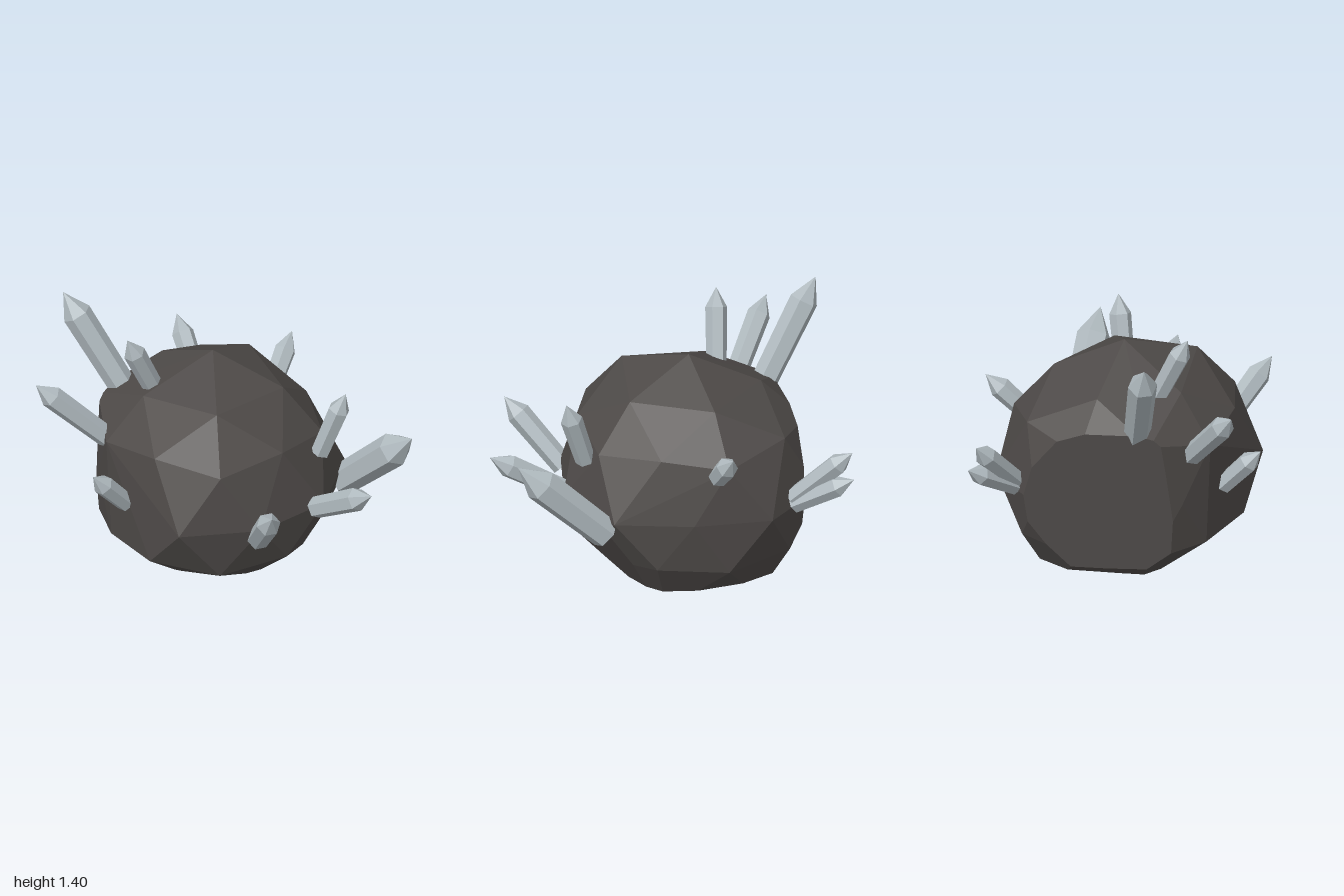
import * as THREE from 'three';
import { ConvexGeometry } from 'three/addons/geometries/ConvexGeometry.js';

const V = (x, y, z) => new THREE.Vector3(x, y, z);

// Keep the part of a polygon that lies behind a plane
function clip(poly, plane) {
  const out = [];
  poly.forEach((a, i) => {
    const b = poly[(i + 1) % poly.length];
    const da = plane.distanceToPoint(a), db = plane.distanceToPoint(b);
    if (da <= 0) out.push(a);
    if (da * db < 0) out.push(a.clone().lerp(b, da / (da - db)));
  });
  return out;
}

// Rough faceted ball with a flat base, a broad flat flank and an undercut facet
function rockGeometry() {
  const R = 0.73;
  const ball = [V(-0.12, 1.185, 0.01)];
  // Rings of corners: height, ring radius, first angle, roughness of each corner
  [
    [0.8, 0.575, 0, [0.96, 1.01, 0.93, 0.94, 0.96]],
    [0.526, 0.851, 36, [0.96, 0.93, 1, 1, 0.9]],
    [0.447, 0.894, 0, [0.95, 1, 0.93, 0.98, 0.95]],
    [0, 1, 18, [0.98, 0.97, 1.01, 0.8, 0.83, 1, 1, 0.99, 0.87, 1]],
    [-0.38, 0.894, 36, [0.97, 0.96, 1, 1, 0.98]],
    [-0.42, 0.851, 0, [1, 1, 0.93, 1, 1]],
    [-0.723, 0.526, 36, [0.95, 0.9, 1, 1.16, 1.14]],
  ].forEach(([h, r, start, rough]) => rough.forEach((k, i) => {
    const a = THREE.MathUtils.degToRad(start + (360 / rough.length) * i);
    ball.push(V(r * Math.cos(a), h, r * Math.sin(a)).multiplyScalar(R * k).add(V(-0.13, 0.455, 0.03)));
  }));

  const cut = (n, p) => new THREE.Plane().setFromNormalAndCoplanarPoint(n.normalize(), p);
  const planes = [
    cut(V(0, -1, 0), V(0, 0, 0)),
    cut(V(-0.92, -0.05, -0.37), V(-0.65, 0.92, -0.11)),
    cut(V(0.86, -0.51, 0), V(0.33, 0, 0)),
  ];
  const pos = new ConvexGeometry(ball).attributes.position;
  const points = new Map();
  for (let i = 0; i < pos.count; i += 3) {
    let poly = [0, 1, 2].map((k) => V(0, 0, 0).fromBufferAttribute(pos, i + k));
    for (const plane of planes) poly = clip(poly, plane);
    for (const p of poly) points.set(p.toArray().map((c) => c.toFixed(4)).join(), p);
  }
  return new ConvexGeometry([...points.values()]);
}

// Six-sided crystal with a pointed end, from base to tip
function makeCrystal(base, tip, r, material) {
  const axis = tip.clone().sub(base);
  const len = axis.length();
  const profile = [[0, 0], [r * 0.92, 0], [r, len - r * 1.8], [0, len]]
    .map(([x, y]) => new THREE.Vector2(x, y));
  const geo = new THREE.LatheGeometry(profile, 6).toNonIndexed();
  geo.computeVertexNormals();
  const mesh = new THREE.Mesh(geo, material);
  mesh.position.copy(base);
  mesh.quaternion.setFromUnitVectors(V(0, 1, 0), axis.normalize());
  return mesh;
}

export function createModel() {
  const rockGrey = new THREE.MeshStandardMaterial({ color: 0x4e4a48 });
  rockGrey.name = 'darkRock';
  const crystalGrey = new THREE.MeshStandardMaterial({ color: 0xafb9be });
  crystalGrey.name = 'paleCrystal';

  const model = new THREE.Group();
  model.name = 'crystalRock';
  const rock = new THREE.Mesh(rockGeometry(), rockGrey);
  rock.name = 'rock';
  model.add(rock);

  // Crystals: base, tip, radius
  const crystals = new THREE.Group();
  crystals.name = 'crystals';
  [
    [[-0.58, 0.80, -0.01], [-0.96, 1.40, -0.04], 0.08],
    [[-0.64, 0.72, 0.28], [-1.0, 1.09, 0.43], 0.064],
    [[-0.41, 0.96, 0.13], [-0.53, 1.35, 0.28], 0.06],
    [[-0.49, 0.45, 0.48], [-0.63, 0.70, 0.66], 0.058],
    [[0.27, 0.40, 0.60], [0.42, 0.74, 0.92], 0.066],
    [[0.52, 0.46, 0.31], [0.87, 0.69, 0.49], 0.066],
    [[0.50, 0.70, 0.13], [0.64, 1.08, 0.12], 0.06],
    [[0.57, 0.38, -0.13], [1.0, 0.83, 0.09], 0.095],
    [[0.10, 0.72, -0.51], [0.15, 0.91, -0.70], 0.06],
    [[-0.33, 0.50, -0.62], [-0.53, 0.81, -0.88], 0.06],
    [[-0.33, 0.47, -0.63], [-0.51, 0.67, -0.92], 0.058],
  ].forEach(([base, tip, r], i) => {
    const crystal = makeCrystal(V(...base), V(...tip), r, crystalGrey);
    crystal.name = `crystal${i + 1}`;
    crystals.add(crystal);
  });
  model.add(crystals);
  return model;
}
